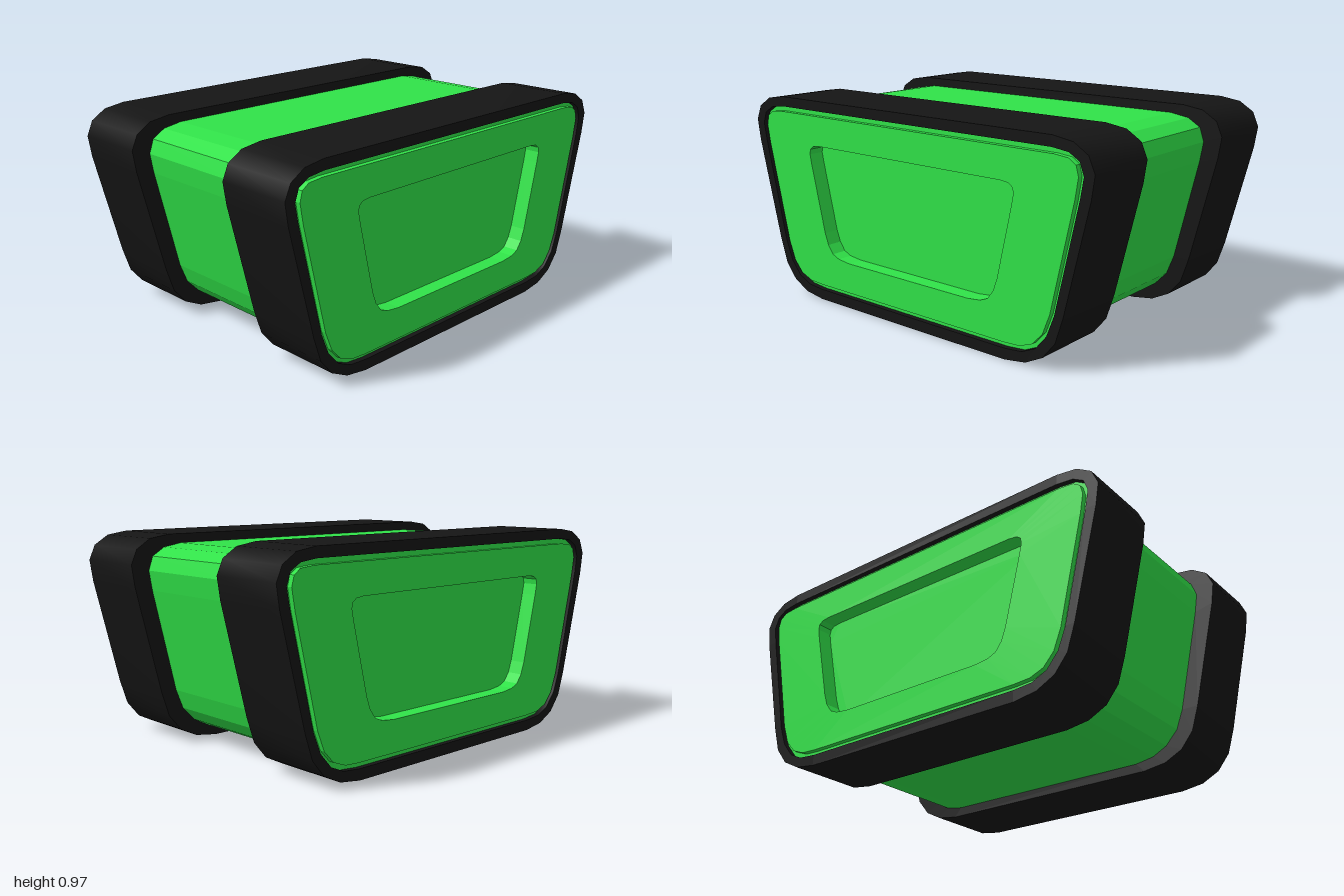
import * as THREE from 'three';
import { toCreasedNormals } from 'three/addons/utils/BufferGeometryUtils.js';

// Half outlines (x, y), listed from the top centre side down to the bottom
const OUTER = [[0.8, 0.967], [0.9, 0.952], [0.97, 0.908], [1, 0.84], [0.985, 0.74], [0.865, 0.25], [0.828, 0.135], [0.767, 0.06], [0.68, 0.016], [0.57, 0]];
const OPENING = [[0.8, 0.92], [0.88, 0.91], [0.93, 0.88], [0.95, 0.825], [0.935, 0.74], [0.822, 0.25], [0.785, 0.155], [0.73, 0.09], [0.66, 0.058], [0.57, 0.05]];
const PANEL = [[0.81, 0.895], [0.88, 0.888], [0.913, 0.865], [0.925, 0.82], [0.91, 0.73], [0.8, 0.25], [0.765, 0.16], [0.715, 0.105], [0.65, 0.08], [0.57, 0.075]];
const RECESS = [[0.55, 0.755], [0.59, 0.75], [0.61, 0.735], [0.615, 0.71], [0.605, 0.66], [0.53, 0.34], [0.51, 0.285], [0.48, 0.245], [0.44, 0.228], [0.37, 0.22]];
const BODY = [[0.74, 0.925], [0.83, 0.91], [0.89, 0.873], [0.912, 0.81], [0.897, 0.72], [0.787, 0.25], [0.752, 0.16], [0.692, 0.095], [0.62, 0.058], [0.53, 0.043]];

// Mirrors a half outline into a closed counter-clockwise loop
function closed(half) {
  return [...half].reverse().concat(half.map(([x, y]) => [-x, y]));
}

// Skins a series of [outline, z] rings
function loft(rings) {
  const pos = [], index = [], n = rings[0][0].length * 2;
  for (const [half, z] of rings) for (const [x, y] of closed(half)) pos.push(x, y, z);
  for (let r = 0; r < rings.length - 1; r++) {
    for (let i = 0; i < n; i++) {
      const a = r * n + i, b = r * n + (i + 1) % n;
      index.push(a, b, b + n, a, b + n, a + n);
    }
  }
  const geo = new THREE.BufferGeometry();
  geo.setAttribute('position', new THREE.Float32BufferAttribute(pos, 3));
  geo.setIndex(index);
  geo.computeVertexNormals();
  return geo;
}

export function createModel() {
  const model = new THREE.Group();
  model.name = 'case';
  const green = new THREE.MeshStandardMaterial({ color: 0x30e248, flatShading: true });
  const black = new THREE.MeshStandardMaterial({ color: 0x151515 });

  const add = (parent, name, geo, mat) => {
    const mesh = new THREE.Mesh(geo, mat);
    mesh.name = name;
    parent.add(mesh);
  };

  // Central shell between the bumpers
  add(model, 'body', loft([[BODY, -0.33], [BODY, 0.33]]), green);

  // Matching ends: bumper, then a raised panel with a shallow recess
  const bumperGeo = toCreasedNormals(loft([
    [BODY, 0.312], [OUTER, 0.312], [OUTER, 0.675], [OPENING, 0.675], [OPENING, 0.65],
  ]), 0.9);
  const panelGeo = loft([[OPENING, 0.65], [PANEL, 0.65], [PANEL, 0.674], [RECESS, 0.674], [RECESS, 0.6]]);
  const floorShape = new THREE.Shape(closed(RECESS).map(([x, y]) => new THREE.Vector2(x, y)));
  const floorGeo = new THREE.ShapeGeometry(floorShape).translate(0, 0, 0.6);

  for (const [name, turn] of [['frontEnd', 0], ['backEnd', Math.PI]]) {
    const end = new THREE.Group();
    end.name = name;
    end.rotation.y = turn;
    add(end, 'bumper', bumperGeo, black);
    add(end, 'endPanel', panelGeo, green);
    add(end, 'recessFloor', floorGeo, green);
    model.add(end);
  }
  return model;
}
